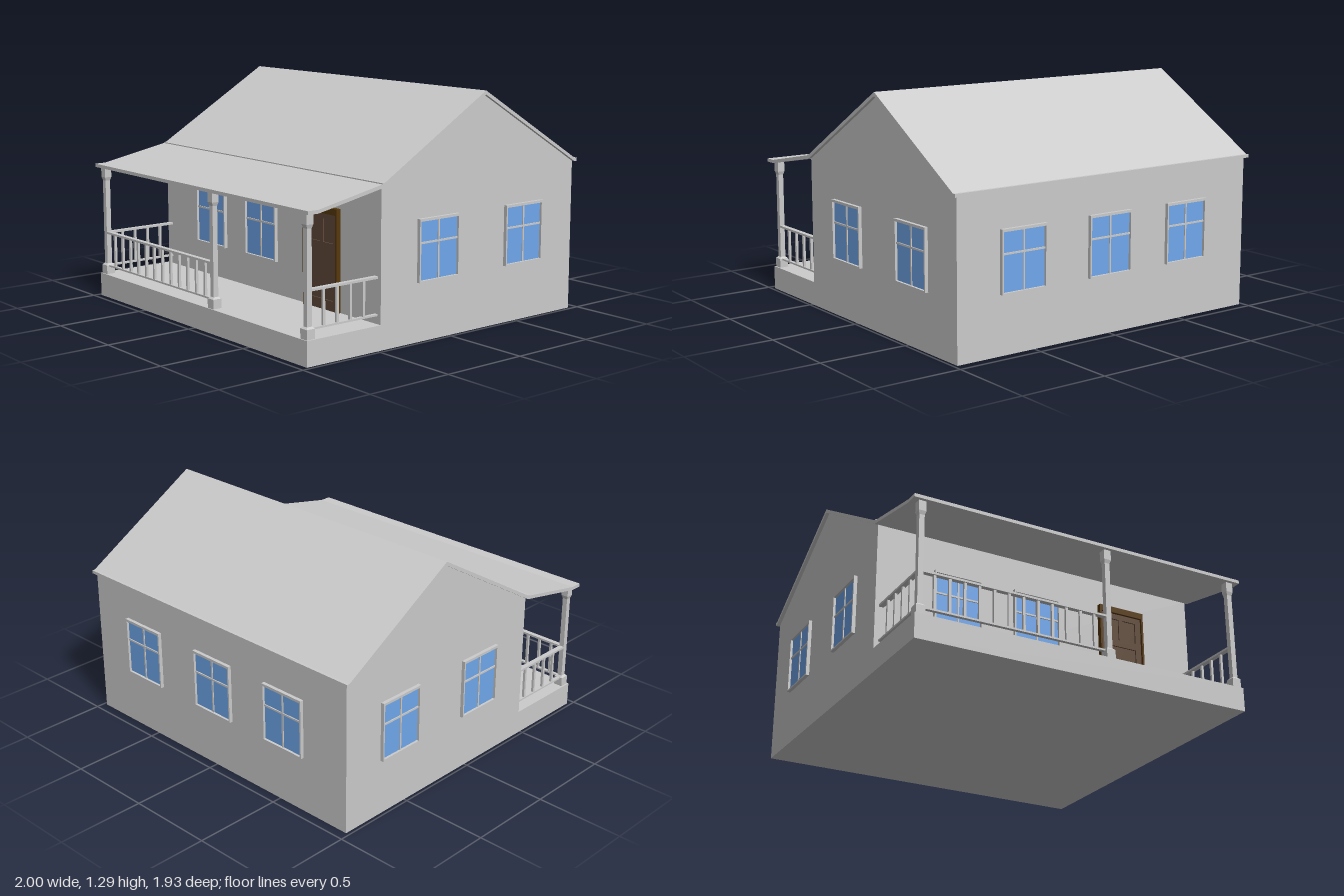
import * as THREE from 'three';

const mat = (color) => new THREE.MeshStandardMaterial({ color });
const grey = mat(0xcccccc);
const blue = mat(0x70a7ec);
const brown = mat(0x604a39);
const darkBrown = mat(0x57390c);

function add(parent, name, geometry, material = grey) {
  const mesh = new THREE.Mesh(geometry, material);
  mesh.name = name;
  parent.add(mesh);
  return mesh;
}

// Box given by its minimum and maximum corners
function box(parent, name, [x0, y0, z0], [x1, y1, z1], material) {
  const mesh = add(parent, name, new THREE.BoxGeometry(x1 - x0, y1 - y0, z1 - z0), material);
  mesh.position.set((x0 + x1) / 2, (y0 + y1) / 2, (z0 + z1) / 2);
  return mesh;
}

// Side profile of [z, y] points, extruded across x
function sideProfile(points, width) {
  const shape = new THREE.Shape(points.map(([z, y]) => new THREE.Vector2(z, y)));
  const geometry = new THREE.ExtrudeGeometry(shape, { depth: width, bevelEnabled: false });
  return geometry.translate(0, 0, -width / 2).rotateY(-Math.PI / 2);
}

// Window facing +z, origin at the middle of its bottom edge on the wall
const W = 0.285, H = 0.337;
function createWindow(name) {
  const g = new THREE.Group();
  g.name = name;
  const h = W / 2, t = 0.009, depth = 0.02;
  box(g, 'frameLeft', [h - t, 0, 0], [h, H, depth]);
  box(g, 'frameRight', [-h, 0, 0], [-h + t, H, depth]);
  box(g, 'frameHead', [-h + t, H - 0.014, 0], [h - t, H, depth]);
  box(g, 'frameSill', [-h + t, 0, 0], [h - t, t, depth]);
  box(g, 'glass', [-h + t, t, 0], [h - t, H - 0.014, 0.006], blue);
  box(g, 'mullion', [-0.005, t, 0.004], [0.005, H - 0.014, 0.011]);
  box(g, 'glazingBar', [-h + t, 0.203, 0.004], [h - t, 0.213, 0.012]);
  return g;
}

// Square post tapering through a list of [y, half width] sections
function createPost(x, z) {
  const g = new THREE.Group();
  g.name = 'porchPost';
  const sections = [[0.135, 0.026], [0.187, 0.026], [0.197, 0.015], [0.69, 0.015], [0.71, 0.021], [0.768, 0.021]];
  for (let i = 0; i + 1 < sections.length; i++) {
    const [y0, a] = sections[i], [y1, b] = sections[i + 1];
    const geometry = new THREE.CylinderGeometry(b * Math.SQRT2, a * Math.SQRT2, y1 - y0, 4, 1).rotateY(Math.PI / 4);
    geometry.translate(0, (y0 + y1) / 2, 0);
    const flat = geometry.toNonIndexed();
    flat.computeVertexNormals();
    add(g, 'postSection', flat);
  }
  g.position.set(x, 0, z);
  return g;
}

// Railing along +x from the origin
function createRailing(name, length, count) {
  const g = new THREE.Group();
  g.name = name;
  box(g, 'topRail', [0, 0.374, -0.014], [length, 0.386, 0.014]);
  box(g, 'bottomRail', [0, 0.178, -0.01], [length, 0.188, 0.01]);
  for (let i = 1; i <= count; i++) {
    const x = (length * i) / (count + 1);
    box(g, 'baluster', [x - 0.007, 0.188, -0.007], [x + 0.007, 0.374, 0.007]);
  }
  return g;
}

export function createModel() {
  const house = new THREE.Group();
  house.name = 'house';

  // House body with gables, and porch floor
  add(house, 'walls', sideProfile([[-0.945, 0], [0.48, 0], [0.48, 0.852], [-0.233, 1.275], [-0.945, 0.855]], 1.96));
  box(house, 'porchFloor', [-0.98, 0, 0.48], [0.98, 0.135, 0.96]);

  // Gabled main roof and shallow porch roof
  add(house, 'mainRoof', sideProfile([
    [-0.233, 1.292], [-0.945, 0.868], [-0.962, 0.868], [-0.962, 0.85], [-0.943, 0.85],
    [-0.233, 1.27], [0.475, 0.85], [0.49, 0.85], [0.49, 0.872], [0.475, 0.872]], 2));
  add(house, 'porchRoof', sideProfile([
    [0.48, 0.868], [0.48, 0.848], [0.9, 0.766], [0.967, 0.766], [0.967, 0.785], [0.9, 0.785]], 2));

  // Porch posts and railings
  const postZ = 0.927;
  for (const x of [-0.945, 0.145, 0.945]) house.add(createPost(x, postZ));
  const frontRail = createRailing('frontRailing', 1.09, 12);
  frontRail.position.set(-0.945, 0, postZ);
  house.add(frontRail);
  for (const side of [-1, 1]) {
    const rail = createRailing('sideRailing', 0.435, 4);
    rail.rotation.y = Math.PI / 2;
    rail.position.set(side * 0.945, 0, 0.915);
    house.add(rail);
  }

  // Windows on all four walls
  const placeWindow = (name, x, z, turn) => {
    const win = createWindow(name);
    win.position.set(x, 0.32, z);
    win.rotation.y = turn;
    house.add(win);
  };
  for (const x of [-0.506, -0.025]) placeWindow('frontWindow', x, 0.48, 0);
  for (const x of [-0.535, 0.005, 0.575]) placeWindow('backWindow', x, -0.945, Math.PI);
  for (const z of [0.088, -0.549]) {
    placeWindow('leftWindow', 0.98, z, Math.PI / 2);
    placeWindow('rightWindow', -0.98, z, -Math.PI / 2);
  }

  // Front door with frame, stiles and rails around sunken panels
  const door = new THREE.Group();
  door.name = 'frontDoor';
  house.add(door);
  box(door, 'jambRight', [0.375, 0.135, 0.48], [0.386, 0.692, 0.508], darkBrown);
  box(door, 'jambLeft', [0.649, 0.135, 0.48], [0.66, 0.692, 0.508], darkBrown);
  box(door, 'doorHead', [0.386, 0.657, 0.48], [0.649, 0.692, 0.508], darkBrown);
  box(door, 'doorPanel', [0.386, 0.135, 0.48], [0.649, 0.657, 0.486], brown);
  for (const x of [0.386, 0.614]) box(door, 'stile', [x, 0.135, 0.486], [x + 0.035, 0.657, 0.494], brown);
  for (const [y0, y1] of [[0.135, 0.19], [0.46, 0.5], [0.625, 0.657]])
    box(door, 'doorRail', [0.421, y0, 0.486], [0.614, y1, 0.494], brown);
  box(door, 'middleStile', [0.505, 0.5, 0.486], [0.53, 0.625, 0.494], brown);

  return house;
}
